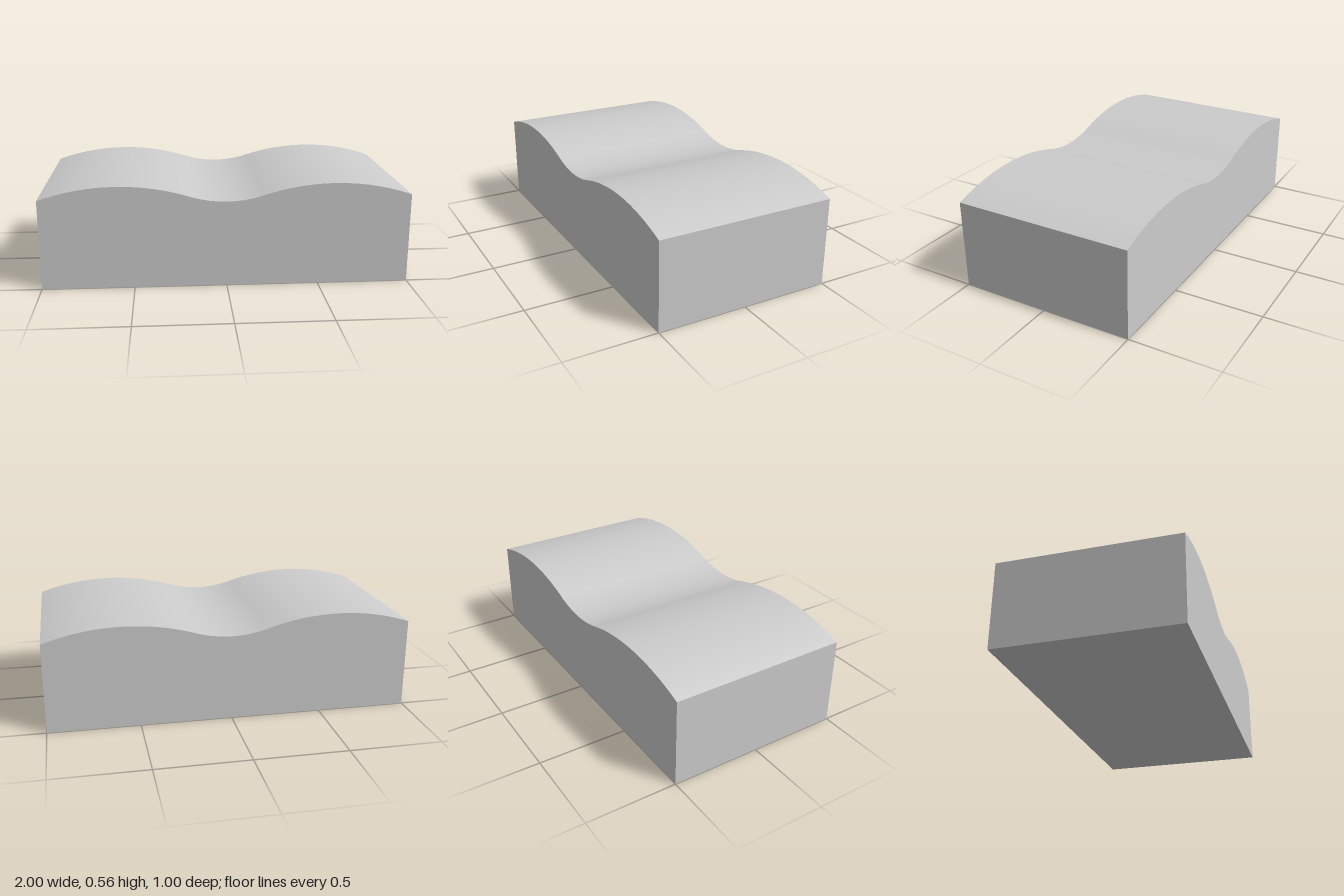
import * as THREE from 'three';
import { toCreasedNormals } from 'three/addons/utils/BufferGeometryUtils.js';

const DEPTH = 1;
const CREST_X = 0.585, CREST_Y = 0.565, CREST_R = 1.265; // two raised arcs
const JOIN_X = 0.2; // where a crest runs tangentially into the central dip

export function createModel() {
  const group = new THREE.Group();
  group.name = 'wavyBlock';

  const crestCentreY = CREST_Y - CREST_R;
  const outer = Math.asin((1 - CREST_X) / CREST_R); // angles off vertical
  const inner = Math.asin((CREST_X - JOIN_X) / CREST_R);
  const dipR = JOIN_X / Math.sin(inner);
  const dipCentreY = crestCentreY + (CREST_R + dipR) * Math.cos(inner);
  const up = Math.PI / 2;

  // Front outline: flat base, upright ends, crest - dip - crest on top
  const outline = new THREE.Shape();
  outline.moveTo(-1, 0);
  outline.lineTo(1, 0);
  outline.absarc(CREST_X, crestCentreY, CREST_R, up - outer, up + inner, false);
  outline.absarc(0, dipCentreY, dipR, -up + inner, -up - inner, true);
  outline.absarc(-CREST_X, crestCentreY, CREST_R, up - inner, up + outer, false);
  outline.closePath();

  const geometry = new THREE.ExtrudeGeometry(outline, {
    depth: DEPTH, bevelEnabled: false, curveSegments: 24,
  });
  geometry.translate(0, 0, -DEPTH / 2);

  // Smooth wavy top, sharp edges elsewhere
  const block = new THREE.Mesh(
    toCreasedNormals(geometry, 0.5),
    new THREE.MeshStandardMaterial({ color: 0xcccccc }),
  );
  block.name = 'block';
  group.add(block);
  return group;
}
